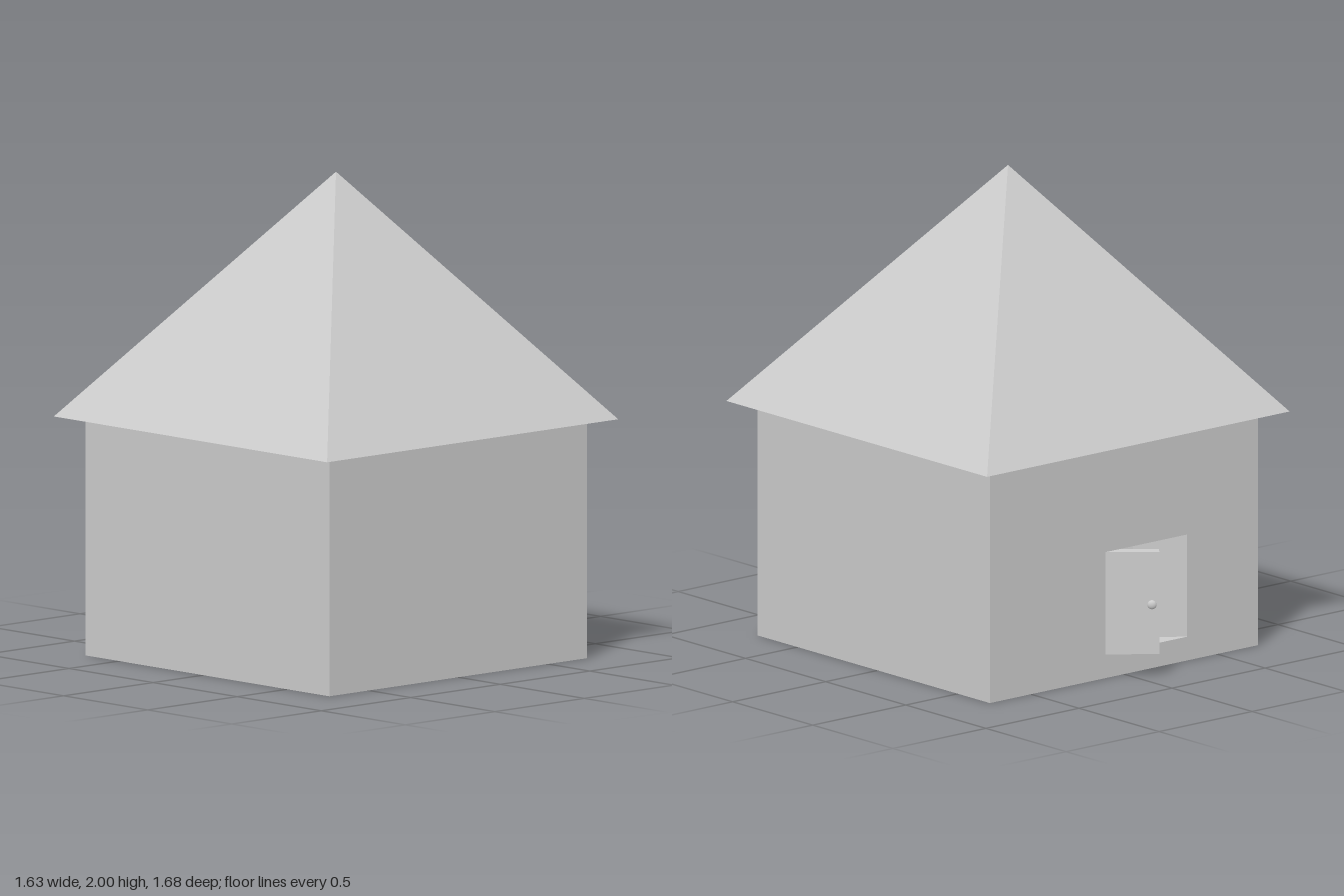
import * as THREE from 'three';

const mat = new THREE.MeshStandardMaterial({ color: 0xcccccc, flatShading: true });
const smooth = new THREE.MeshStandardMaterial({ color: 0xcccccc });

function add(parent, name, geometry, x, y, z, material = mat) {
  const mesh = new THREE.Mesh(geometry, material);
  mesh.name = name;
  mesh.position.set(x, y, z);
  parent.add(mesh);
  return mesh;
}

export function createModel() {
  const house = new THREE.Group();
  house.name = 'house';

  const halfW = 0.72, back = -0.70, front = 0.75, top = 0.985, wall = 0.14;
  const sill = 0.10, lintel = 0.53, doorRight = -0.34, doorLeft = 0.10;

  // Back wall with the doorway cut through it
  const shape = new THREE.Shape();
  shape.moveTo(-halfW, 0).lineTo(halfW, 0).lineTo(halfW, top).lineTo(-halfW, top).closePath();
  const hole = new THREE.Path();
  hole.moveTo(doorRight, sill).lineTo(doorRight, lintel).lineTo(doorLeft, lintel).lineTo(doorLeft, sill).closePath();
  shape.holes.push(hole);
  add(house, 'backWall', new THREE.ExtrudeGeometry(shape, { depth: wall, bevelEnabled: false }), 0, 0, back);

  // Side walls, front wall and floor behind it
  const inner = front - back - wall;
  const midZ = (front + back + wall) / 2;
  for (const s of [-1, 1]) {
    add(house, s > 0 ? 'leftWall' : 'rightWall', new THREE.BoxGeometry(wall, top, inner),
      s * (halfW - wall / 2), top / 2, midZ);
  }
  const roomW = 2 * (halfW - wall);
  add(house, 'frontWall', new THREE.BoxGeometry(roomW, top, wall), 0, top / 2, front - wall / 2);
  add(house, 'floor', new THREE.BoxGeometry(roomW, sill, inner - wall), 0, sill / 2, midZ - wall / 2);

  // Pyramid roof with overhanging eaves
  const roofGeo = new THREE.ConeGeometry(0.813 * Math.SQRT2, 2 - top, 4);
  roofGeo.rotateY(Math.PI / 4);
  add(house, 'roof', roofGeo, 0, (2 + top) / 2, 0.023);

  // Two door leaves turned the same way: one swings out, the other in
  const leafW = (doorLeft - doorRight) / 2, leafH = lintel - sill, leafT = 0.047;
  for (const s of [-1, 1]) {
    const leaf = new THREE.Group();
    leaf.name = s < 0 ? 'leftDoor' : 'rightDoor';
    leaf.position.set(s < 0 ? doorLeft : doorRight, sill, back);
    leaf.rotation.y = -0.69;
    add(leaf, 'doorPanel', new THREE.BoxGeometry(leafW, leafH, leafT), s * leafW / 2, leafH / 2, leafT / 2);
    const knob = add(leaf, 'doorKnob', new THREE.SphereGeometry(0.019, 20, 14),
      s * (leafW - 0.03), 0.21, -0.008, smooth);
    knob.scale.z = 0.6;
    house.add(leaf);
  }
  return house;
}
